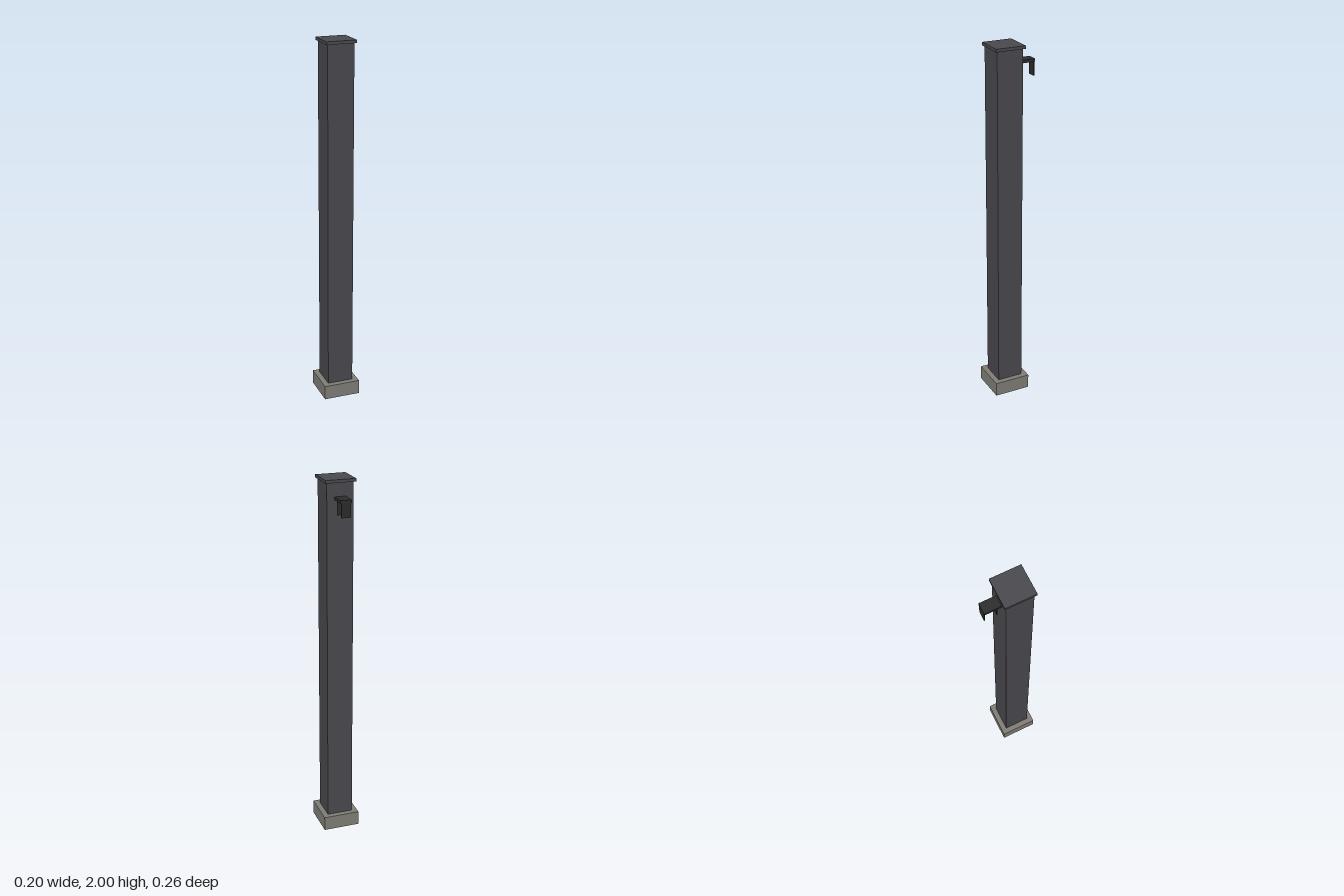
import * as THREE from 'three';

const postGrey = new THREE.MeshStandardMaterial({ name: 'postGrey', color: 0x4a4a4f });
const stoneGrey = new THREE.MeshStandardMaterial({ name: 'stoneGrey', color: 0x807e76, side: THREE.DoubleSide });
const bracketBlack = new THREE.MeshStandardMaterial({ name: 'bracketBlack', color: 0x2c2c2c });

const AXIS_Z = 0.03; // the post stands forward of the bracket

function box(name, [w, h, d], [x, bottom, z], material) {
  const mesh = new THREE.Mesh(new THREE.BoxGeometry(w, h, d), material);
  mesh.name = name;
  mesh.position.set(x, bottom + h / 2, z);
  return mesh;
}

// Box without its underside
function openBottomBox(name, size, position, material) {
  const mesh = box(name, size, position, material);
  const index = Array.from(mesh.geometry.index.array);
  index.splice(18, 6); // the fourth face is the underside
  mesh.geometry.setIndex(index);
  mesh.geometry.clearGroups();
  return mesh;
}

export function createModel() {
  const model = new THREE.Group();
  model.name = 'squarePost';

  // Hollow footing, shaft and cap
  model.add(openBottomBox('footing', [0.204, 0.08, 0.204], [0, 0, AXIS_Z], stoneGrey));
  model.add(box('shaft', [0.144, 1.904, 0.144], [0, 0.08, AXIS_Z], postGrey));
  model.add(box('cap', [0.164, 0.016, 0.164], [0, 1.984, AXIS_Z], postGrey));

  // Bracket at the back: a shelf with two hanging tabs
  const bracket = new THREE.Group();
  bracket.name = 'bracket';
  bracket.add(box('shelf', [0.06, 0.016, 0.092], [0, 1.896, -0.086], bracketBlack));
  for (const [name, z] of [['innerTab', -0.064], ['outerTab', -0.129]]) {
    bracket.add(box(name, [0.05, 0.074, 0.005], [0, 1.822, z], bracketBlack));
  }
  model.add(bracket);

  return model;
}
